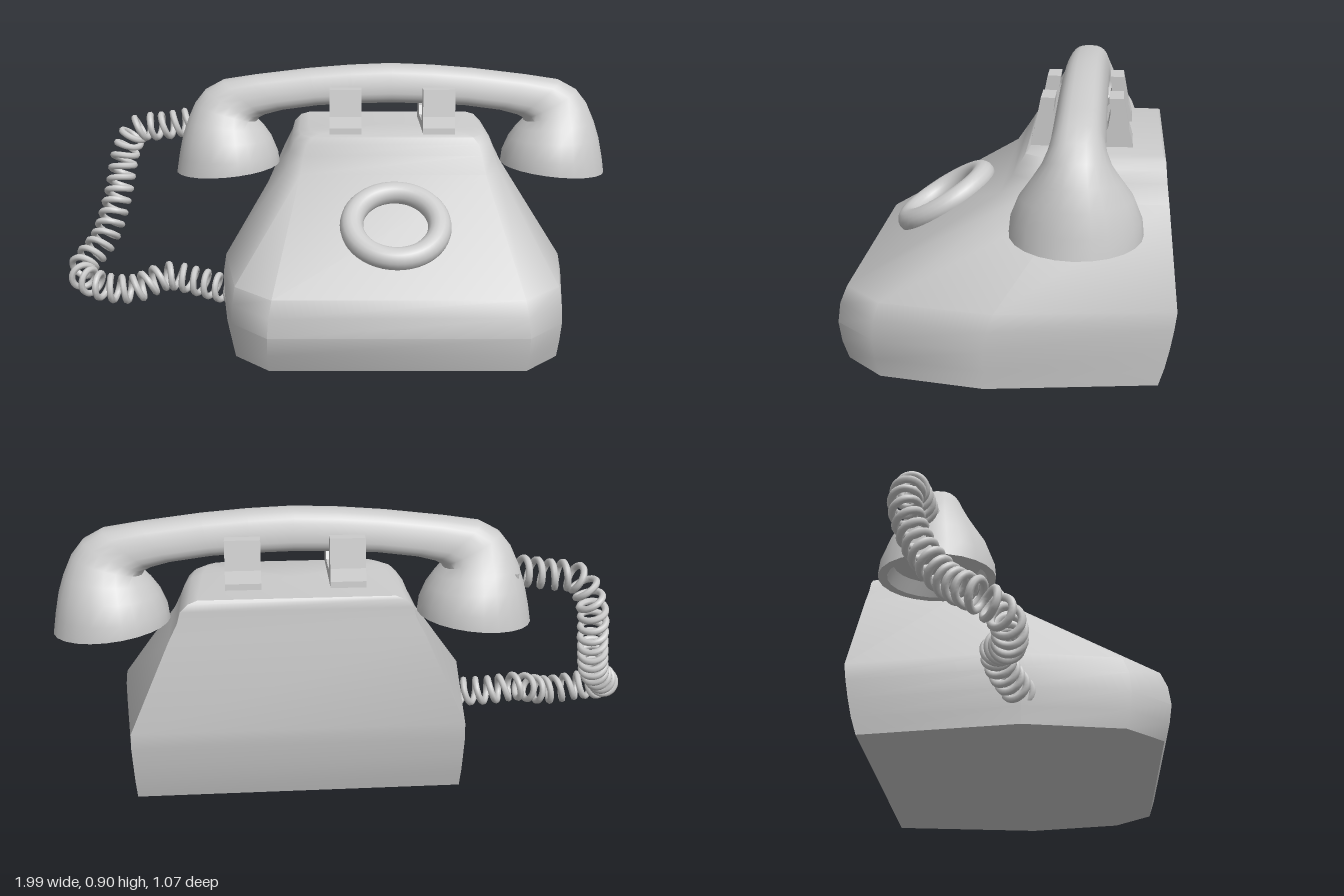
import * as THREE from 'three';
import { toCreasedNormals } from 'three/addons/utils/BufferGeometryUtils.js';

const CX = 0.2; // centre line of the telephone, the cord hangs off to its right
const material = new THREE.MeshStandardMaterial({ color: 0xcccccc });

function addMesh(parent, name, geometry) {
  const mesh = new THREE.Mesh(geometry, material);
  mesh.name = name;
  parent.add(mesh);
  return mesh;
}

// Skin a list of closed rings (arrays of Vector3 of equal length)
function loft(rings, crease) {
  const n = rings[0].length;
  const index = [];
  for (let i = 0; i < rings.length - 1; i++) {
    for (let j = 0; j < n; j++) {
      const k = (j + 1) % n;
      const a = i * n + j, b = i * n + k, c = (i + 1) * n + k, d = (i + 1) * n + j;
      index.push(a, b, c, a, c, d);
    }
  }
  const geometry = new THREE.BufferGeometry().setFromPoints(rings.flat());
  geometry.setIndex(index);
  return toCreasedNormals(geometry, crease);
}

// Body: eight-sided rings, each row gives height then
// half width and z of the front, chamfer, side and back corners
function bodyGeometry() {
  const rows = [
    [0, 0.42, 0.505, 0.54, 0.38, 0.6, 0.05, 0.53, -0.48],
    [0.06, 0.425, 0.525, 0.545, 0.395, 0.605, 0.05, 0.533, -0.498],
    [0.125, 0.425, 0.535, 0.55, 0.4, 0.61, 0.05, 0.535, -0.512],
    [0.19, 0.42, 0.527, 0.547, 0.395, 0.608, 0.04, 0.537, -0.523],
    [0.245, 0.41, 0.505, 0.54, 0.375, 0.6, 0.02, 0.535, -0.53],
    [0.54, 0.33, 0.025, 0.385, -0.04, 0.41, -0.2, 0.405, -0.5],
    [0.6, 0.32, -0.015, 0.37, -0.08, 0.38, -0.2, 0.375, -0.493],
    [0.635, 0.31, -0.037, 0.355, -0.095, 0.365, -0.2, 0.365, -0.49],
    [0.66, 0.29, -0.052, 0.33, -0.105, 0.34, -0.2, 0.34, -0.488],
    [0.67, 0.26, -0.065, 0.295, -0.115, 0.305, -0.2, 0.31, -0.48],
  ];
  const rings = rows.map(([y, ...p]) => {
    const right = [0, 2, 4, 6].map((i) => new THREE.Vector3(CX + p[i], y, p[i + 1]));
    const left = right.map((v) => new THREE.Vector3(2 * CX - v.x, y, v.z)).reverse();
    return [...right, ...left];
  });
  const cap = (y, z) => Array.from({ length: 8 }, () => new THREE.Vector3(CX, y, z));
  return loft([cap(0, 0), ...rings, cap(0.67, -0.25)], 0.85);
}

// Handset: one sweep from the left cup, over the grip, to the right cup.
// Each section: outer x, outer y, inner x, inner y, half depth, squareness, taper
function handsetGeometry() {
  const half = [
    [0.61, 0.56, 0.61, 0.56, 0, 1, 0],
    [0.755, 0.55, 0.47, 0.572, 0.145, 1, 0],
    [0.77, 0.503, 0.445, 0.528, 0.165, 1, 0],
    [0.8, 0.5, 0.415, 0.53, 0.195, 1, 0],
    [0.79, 0.56, 0.42, 0.57, 0.19, 1, 0],
    [0.775, 0.63, 0.442, 0.625, 0.165, 1, 0],
    [0.755, 0.69, 0.47, 0.665, 0.13, 0.95, 0],
    [0.725, 0.755, 0.495, 0.69, 0.1, 0.85, 0.05],
    [0.685, 0.805, 0.49, 0.702, 0.085, 0.75, 0.1],
    [0.62, 0.84, 0.465, 0.715, 0.078, 0.7, 0.15],
    [0.5, 0.858, 0.4, 0.733, 0.076, 0.65, 0.2],
    [0.3, 0.882, 0.27, 0.75, 0.075, 0.65, 0.2],
    [0.15, 0.894, 0.14, 0.757, 0.075, 0.65, 0.2],
  ];
  const mirrored = half.map(([a, b, c, ...r]) => [-a, b, -c, ...r]).reverse();
  const sections = [...half, [0, 0.9, 0, 0.76, 0.075, 0.65, 0.2], ...mirrored];
  const N = 24;
  const soft = (v, k) => Math.sign(v) * Math.pow(Math.abs(v), k);
  const rings = sections.map(([ox, oy, ix, iy, w, k, taper]) =>
    Array.from({ length: N }, (_, j) => {
      const t = (j / N) * Math.PI * 2;
      const c = soft(Math.cos(t), k), s = soft(Math.sin(t), k);
      return new THREE.Vector3(
        CX + (ox + ix) / 2 + ((ox - ix) / 2) * c,
        (oy + iy) / 2 + ((oy - iy) / 2) * c,
        -0.225 - w * s * (1 - taper * c)
      );
    })
  );
  return loft(rings, 0.85);
}

// Cradle: U-shaped profile in z and y, extruded across x
function cradleGeometry() {
  const side = [[0.165, 0.64], [0.16, 0.69], [0.148, 0.73], [0.13, 0.825],
    [0.085, 0.825], [0.09, 0.78], [0.082, 0.73], [0.06, 0.7]];
  const outline = [...side, ...side.map(([z, y]) => [-z, y]).reverse()];
  const shape = new THREE.Shape(outline.map(([z, y]) => new THREE.Vector2(z - 0.225, y)));
  const geometry = new THREE.ExtrudeGeometry(shape, { depth: 0.115, bevelEnabled: false });
  return geometry.rotateY(-Math.PI / 2).translate(0.0575, 0, 0);
}

// Cord: a helix wound around a drooping path
function cordGeometry() {
  const path = new THREE.CatmullRomCurve3([
    [-0.53, 0.68, -0.26], [-0.65, 0.66, -0.26], [-0.75, 0.645, -0.27], [-0.8, 0.56, -0.28],
    [-0.83, 0.4, -0.23], [-0.87, 0.26, -0.14], [-0.94, 0.16, -0.03], [-0.87, 0.13, 0.03],
    [-0.74, 0.115, 0.03], [-0.62, 0.15, -0.01], [-0.52, 0.135, 0.0], [-0.37, 0.11, 0.05],
  ].map((p) => new THREE.Vector3(...p)));
  const steps = 420, turns = 32, radius = 0.043;
  const frames = path.computeFrenetFrames(steps);
  const points = [];
  for (let i = 0; i <= steps; i++) {
    const a = (i / steps) * turns * Math.PI * 2;
    points.push(path.getPointAt(i / steps)
      .addScaledVector(frames.normals[i], radius * Math.cos(a))
      .addScaledVector(frames.binormals[i], radius * Math.sin(a)));
  }
  const coil = new THREE.CatmullRomCurve3(points);
  coil.arcLengthDivisions = 2000;
  return new THREE.TubeGeometry(coil, 800, 0.012, 7);
}

export function createModel() {
  const model = new THREE.Group();
  model.name = 'telephone';

  addMesh(model, 'body', bodyGeometry());
  addMesh(model, 'handset', handsetGeometry());

  // Dial ring lying on the sloping front
  const dial = addMesh(model, 'dialRing', new THREE.TorusGeometry(0.15, 0.04, 16, 48));
  dial.position.set(CX, 0.42, 0.245);
  dial.rotation.x = -Math.PI / 2 + Math.atan2(0.295, 0.48);

  // Pair of cradle forks
  for (const side of [-1, 1]) {
    const cradle = addMesh(model, side < 0 ? 'rightCradle' : 'leftCradle', cradleGeometry());
    cradle.position.x = CX + side * 0.168;
  }

  addMesh(model, 'coiledCord', cordGeometry());
  return model;
}
